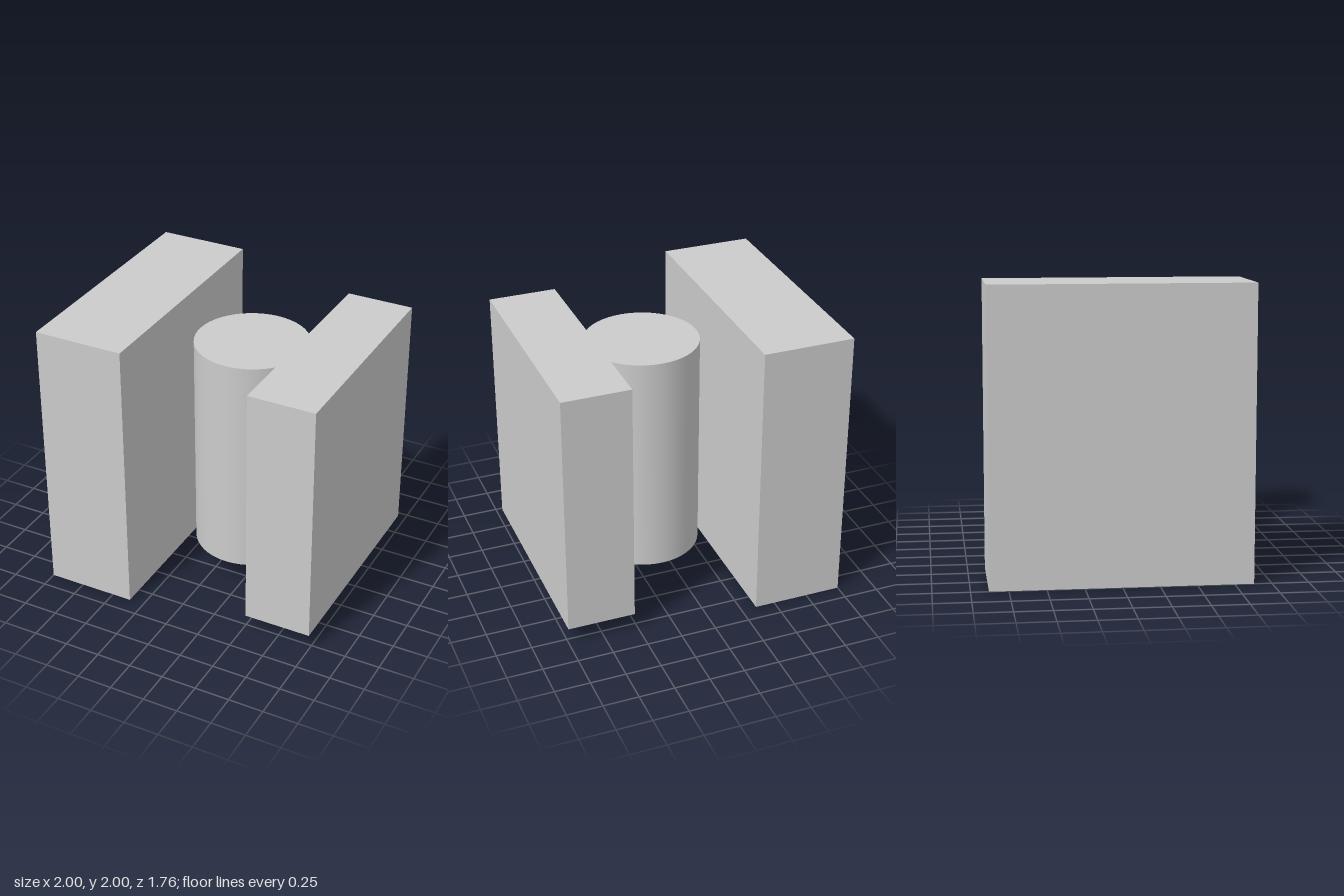
import * as THREE from 'three';

export function createModel() {
  const group = new THREE.Group();
  const material = new THREE.MeshStandardMaterial({ color: 0xcccccc });

  const add = (name, geometry, x) => {
    const mesh = new THREE.Mesh(geometry, material);
    mesh.name = name;
    mesh.position.set(x, 1, 0);
    group.add(mesh);
  };

  // Thick, taller slab on the model's right
  add('largeSlab', new THREE.BoxGeometry(0.64, 2, 1.76), -0.68);

  // Thinner, shorter slab on the model's left
  add('smallSlab', new THREE.BoxGeometry(0.48, 1.76, 1.6), 0.76);

  // Upright roller, partly sunk into the small slab
  add('roller', new THREE.CylinderGeometry(0.4, 0.4, 1.6, 48), 0.16);

  return group;
}
